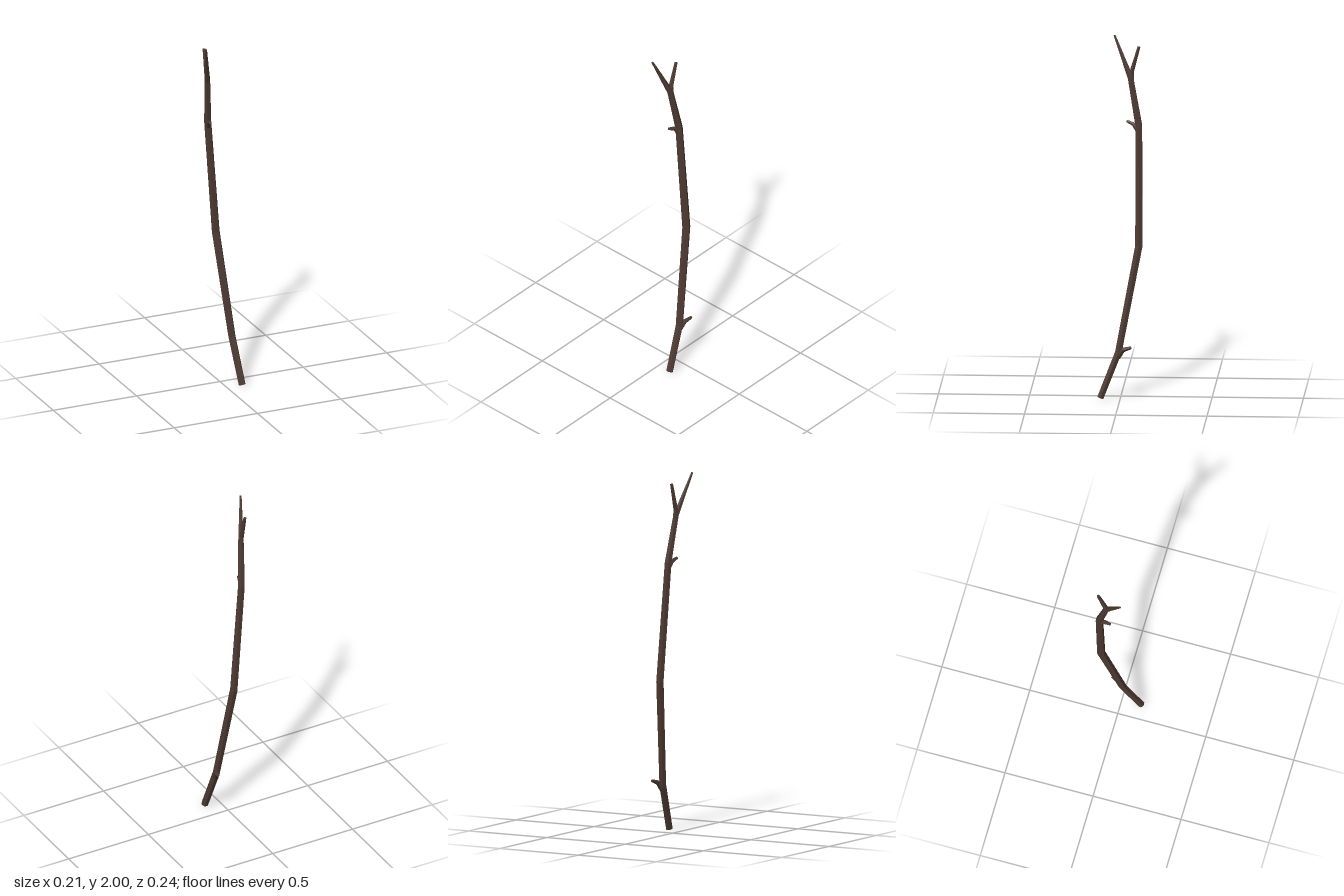
import * as THREE from 'three';

const SIDES = 6;
const bark = new THREE.MeshStandardMaterial({ color: 0x4d3a32, flatShading: true, roughness: 0.9 });

// Sweeps a tapering six-sided ring along points given as [x, y, z, radius]
function limb(name, points) {
  const centres = points.map(([x, y, z]) => new THREE.Vector3(x, y, z));
  const last = centres.length - 1;
  const positions = [];
  const index = [];

  centres.forEach((c, i) => {
    const before = c.clone().sub(centres[Math.max(i - 1, 0)]).normalize();
    const after = centres[Math.min(i + 1, last)].clone().sub(c).normalize();
    const dir = before.add(after).normalize();
    const u = new THREE.Vector3(1, 0, 0).addScaledVector(dir, -dir.x).normalize();
    const v = new THREE.Vector3().crossVectors(dir, u);
    for (let s = 0; s < SIDES; s++) {
      const a = (s / SIDES) * Math.PI * 2;
      const p = c.clone()
        .addScaledVector(u, Math.cos(a) * points[i][3])
        .addScaledVector(v, Math.sin(a) * points[i][3]);
      positions.push(p.x, p.y, p.z);
    }
  });

  // Side walls
  for (let i = 0; i < last; i++) {
    for (let s = 0; s < SIDES; s++) {
      const a = i * SIDES + s;
      const b = i * SIDES + ((s + 1) % SIDES);
      index.push(a, b, b + SIDES, a, b + SIDES, a + SIDES);
    }
  }
  // End caps
  const top = last * SIDES;
  for (let s = 1; s < SIDES - 1; s++) {
    index.push(0, s + 1, s, top, top + s, top + s + 1);
  }

  const geometry = new THREE.BufferGeometry();
  geometry.setAttribute('position', new THREE.Float32BufferAttribute(positions, 3));
  geometry.setIndex(index);
  geometry.computeVertexNormals();
  const mesh = new THREE.Mesh(geometry, bark);
  mesh.name = name;
  return mesh;
}

export function createModel() {
  const group = new THREE.Group();
  group.name = 'branch';
  group.add(
    // Bent main stem, running into the longer prong of the fork
    limb('mainStem', [
      [0.085, 0.008, 0.108, 0.02],
      [0.068, 0.26, 0.01, 0.021],
      [0.02, 0.85, -0.1, 0.023],
      [-0.03, 1.51, -0.096, 0.021],
      [-0.053, 1.77, -0.05, 0.017],
      [-0.102, 1.998, 0.041, 0.006],
    ]),
    // Shorter prong of the fork
    limb('forkProng', [
      [-0.05, 1.73, -0.058, 0.014],
      [-0.054, 1.8, -0.055, 0.014],
      [-0.052, 1.945, -0.096, 0.009],
    ]),
    // Small side twigs
    limb('lowerTwig', [
      [0.07, 0.235, 0.012, 0.017],
      [0.082, 0.277, -0.017, 0.014],
      [0.096, 0.292, -0.06, 0.008],
    ]),
    limb('upperTwig', [
      [-0.029, 1.48, -0.093, 0.016],
      [-0.038, 1.515, -0.068, 0.012],
      [-0.047, 1.53, -0.029, 0.007],
    ])
  );
  return group;
}
